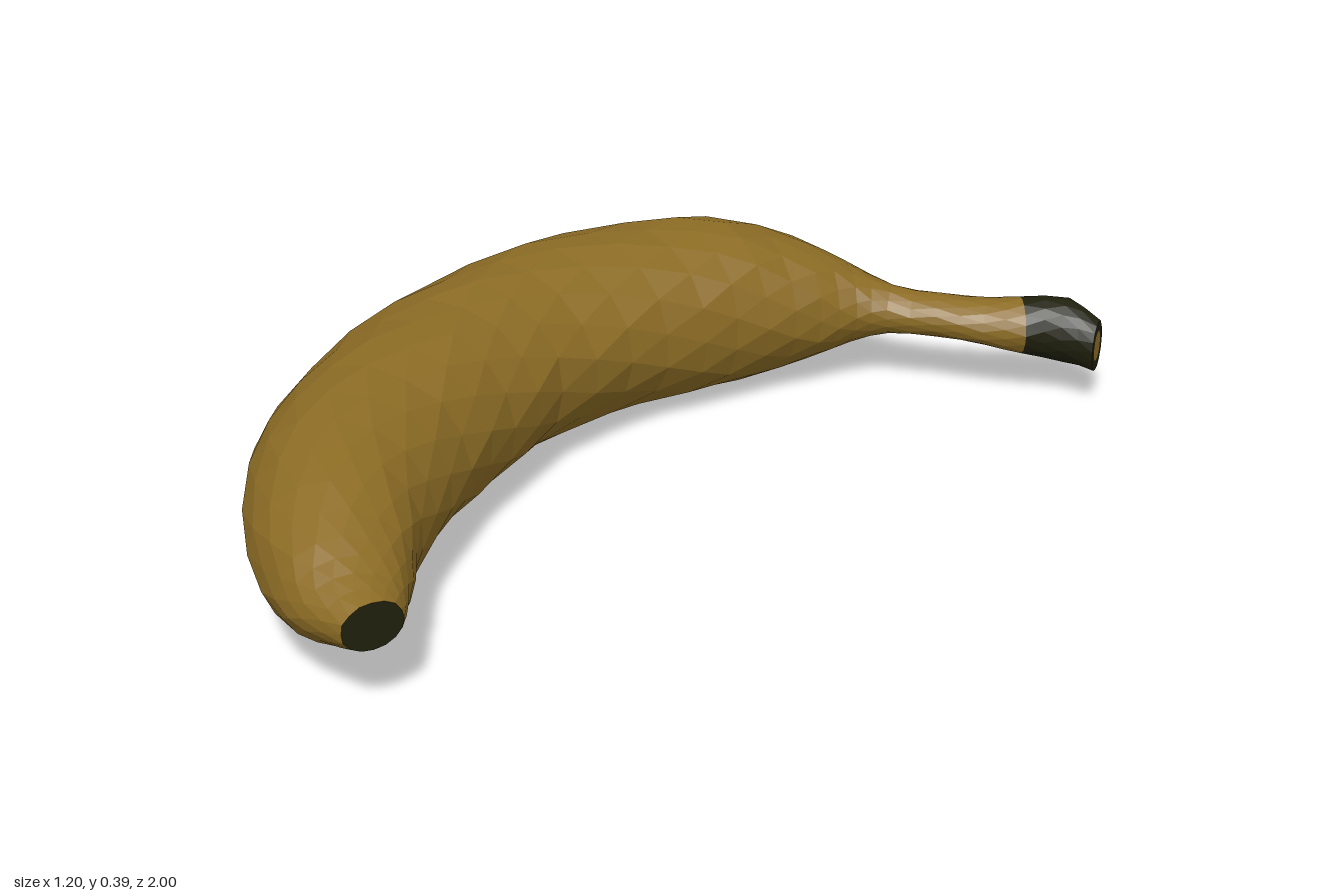
import * as THREE from 'three';

// Cross-sections from blossom tip to stem end:
// outer edge x, z, inner edge x, z, lowest y, highest y
const SECTIONS = [
  [0.07, 1.0, 0.125, 0.89, 0.14, 0.235],
  [-0.03, 0.985, 0.09, 0.835, 0.11, 0.255],
  [-0.11, 0.96, 0.05, 0.77, 0.075, 0.29],
  [-0.25, 0.87, 0.0, 0.69, 0.04, 0.335],
  [-0.41, 0.7, -0.06, 0.56, 0.015, 0.37],
  [-0.52, 0.49, -0.11, 0.38, 0.008, 0.383],
  [-0.58, 0.25, -0.145, 0.19, 0.005, 0.39],
  [-0.6, 0.0, -0.16, 0.0, 0.005, 0.39],
  [-0.57, -0.27, -0.125, -0.2, 0.003, 0.39],
  [-0.46, -0.53, -0.055, -0.38, 0.0, 0.385],
  [-0.33, -0.69, 0.015, -0.52, 0.01, 0.37],
  [-0.14, -0.81, 0.08, -0.63, 0.045, 0.32],
  [0.0, -0.845, 0.13, -0.7, 0.09, 0.265],
  [0.14, -0.855, 0.18, -0.74, 0.12, 0.225],
  [0.24, -0.885, 0.28, -0.775, 0.125, 0.217],
  [0.34, -0.932, 0.38, -0.81, 0.115, 0.215],
  [0.385, -0.955, 0.465, -0.85, 0.1, 0.222],
  [0.5, -1.0, 0.53, -0.885, 0.085, 0.228],
  [0.585, -0.98, 0.6, -0.9, 0.08, 0.195],
];
const SIDES = 16;
const STEPS = 2; // rings per section
const LAST = (SECTIONS.length - 1) * STEPS;
const STEM_TIP = 16 * STEPS; // ring where the dark stem tip begins

const outerEdge = new THREE.CatmullRomCurve3(
  SECTIONS.map(([x, z, , , low]) => new THREE.Vector3(x, low, z)));
const innerEdge = new THREE.CatmullRomCurve3(
  SECTIONS.map(([, , x, z, , high]) => new THREE.Vector3(x, high, z)));

// Small repeatable variation for hand-cut facets
function vary(i, j) {
  const s = Math.sin(i * 127.1 + j * 311.7) * 43758.5453;
  return s - Math.floor(s) - 0.5;
}

// One closed ring of points, turned half a side further at each step
function ring(i, scale = 1) {
  const o = outerEdge.getPoint(i / LAST);
  const n = innerEdge.getPoint(i / LAST);
  const c = o.clone().add(n).multiplyScalar(0.5);
  const points = [];
  for (let j = 0; j < SIDES; j++) {
    const a = ((j + i * 0.5) / SIDES) * Math.PI * 2;
    const r = scale * (1 + vary(i, j) * 0.045);
    const across = Math.cos(a) * r;
    const up = Math.sin(a) * r;
    points.push(new THREE.Vector3(
      c.x + (o.x - c.x) * across,
      Math.max(0, c.y + (n.y - c.y) * up),
      c.z + (o.z - c.z) * across));
  }
  return points;
}

// Skin joining a list of rings
function loft(rings) {
  const index = [];
  for (let i = 0; i < rings.length - 1; i++) {
    for (let j = 0; j < SIDES; j++) {
      const k = (j + 1) % SIDES;
      const a = i * SIDES, b = a + SIDES;
      index.push(a + j, a + k, b + j, a + k, b + k, b + j);
    }
  }
  return new THREE.BufferGeometry().setFromPoints(rings.flat()).setIndex(index);
}

// Fan closing one ring, facing forward or backward along the fruit
function fan(points, forward) {
  const centre = new THREE.Vector3();
  points.forEach((p) => centre.addScaledVector(p, 1 / SIDES));
  const index = [];
  for (let j = 0; j < SIDES; j++) {
    const k = (j + 1) % SIDES;
    index.push(SIDES, ...(forward ? [j, k] : [k, j]));
  }
  return new THREE.BufferGeometry().setFromPoints([...points, centre]).setIndex(index);
}

export function createModel() {
  const peel = new THREE.MeshStandardMaterial({ color: 0x8c6c25, flatShading: true });
  peel.name = 'peel yellow';
  const dark = new THREE.MeshStandardMaterial({ color: 0x1f200d, flatShading: true });
  dark.name = 'dark tip';

  const group = new THREE.Group();
  group.name = 'banana';
  const add = (name, geometry, material) => {
    geometry.computeVertexNormals();
    const mesh = new THREE.Mesh(geometry, material);
    mesh.name = name;
    group.add(mesh);
  };

  const rings = Array.from({ length: LAST + 1 }, (_, i) => ring(i));
  const stemCore = ring(LAST, 0.6);

  // Curved fruit with its narrow stem
  add('peel', loft(rings.slice(0, STEM_TIP + 1)), peel);
  // Dark blossom end
  add('blossomTip', fan(rings[0], false), dark);
  // Dark stem tip with a paler cut face
  add('stemTip', loft([...rings.slice(STEM_TIP), stemCore]), dark);
  add('stemCut', fan(stemCore, true), peel);
  return group;
}
